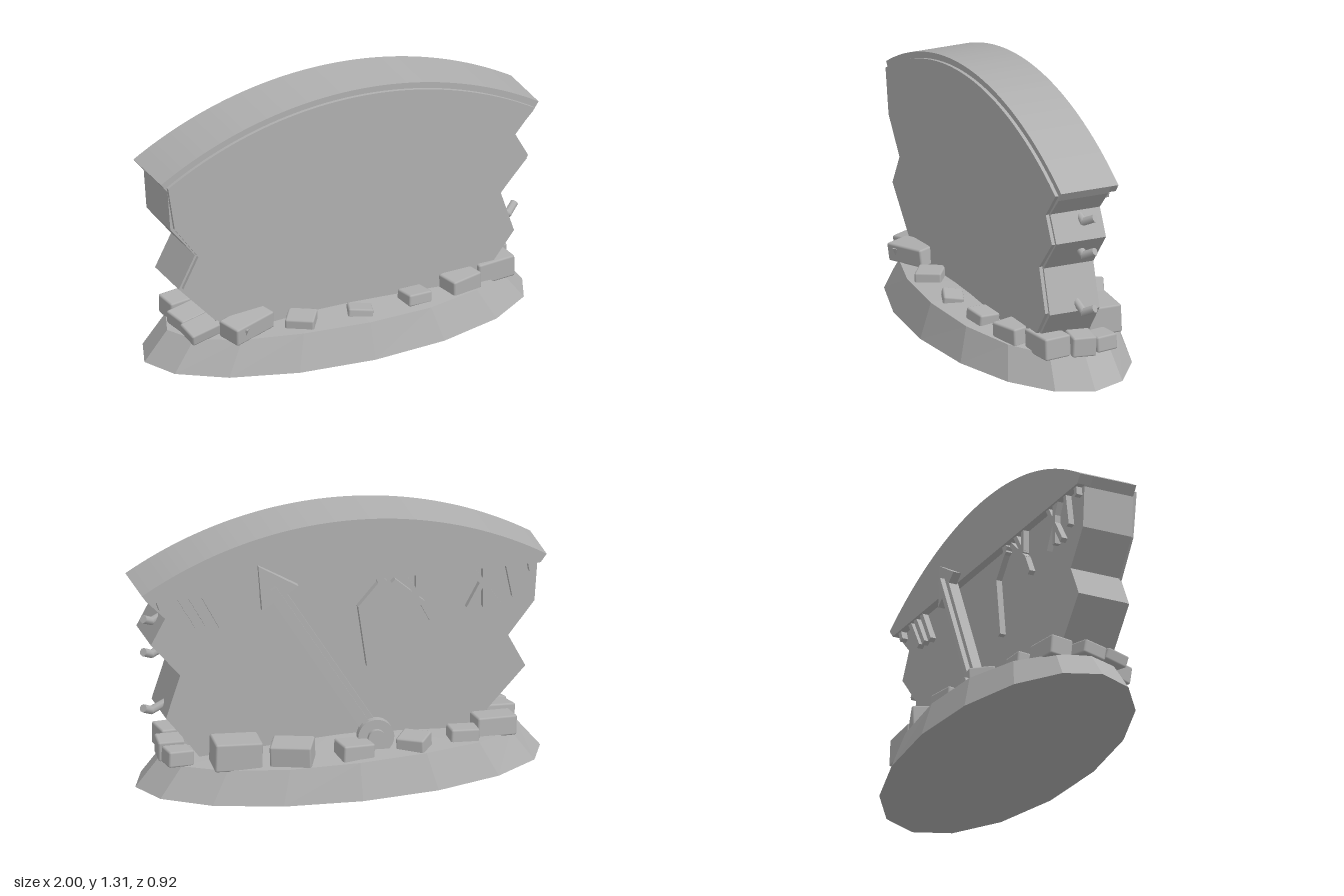
import * as THREE from 'three';
import { RoundedBoxGeometry } from 'three/addons/geometries/RoundedBoxGeometry.js';

const stone = new THREE.MeshStandardMaterial({ color: 0xb0b0b0 });
stone.name = 'greyStone';

export function createModel() {
  const model = new THREE.Group();
  const add = (name, geometry, parent = model) => {
    const mesh = new THREE.Mesh(geometry, stone);
    mesh.name = name;
    parent.add(mesh);
    return mesh;
  };

  // Plate between two z depths: arched top from the left end to the right end, broken edges below
  const plate = (name, points, top, z0, z1) => {
    const [ex, ey] = points[0];
    const rise = top - ey;
    const r = (ex * ex + rise * rise) / (2 * rise);
    const a = Math.asin(ex / r);
    const pts = [];
    for (let i = 0; i <= 48; i++) {
      const t = a - (2 * a * i) / 48;
      pts.push(new THREE.Vector2(r * Math.sin(t), top - r + r * Math.cos(t)));
    }
    points.slice(1).forEach(([x, y]) => pts.push(new THREE.Vector2(x, y)));
    const geometry = new THREE.ExtrudeGeometry(new THREE.Shape(pts), { depth: z1 - z0, bevelEnabled: false });
    add(name, geometry.translate(0, 0, z0));
  };

  // Broken dial slab: points run from the left end of the arch, round the bottom, to the right
  const outline = [
    [1, 1.03], [-0.965, 0.985], [-0.95, 0.78], [-0.82, 0.615], [-0.905, 0.45], [-0.71, 0.24], [-0.65, 0.12],
    [0.68, 0.12], [0.76, 0.23], [0.87, 0.37], [0.8, 0.585], [0.945, 0.755], [0.875, 0.885], [0.97, 0.985],
  ];
  const inset = [
    [0.97, 1.01], [-0.965, 0.98], [-0.935, 0.785], [-0.81, 0.61], [-0.89, 0.455], [-0.7, 0.24], [-0.65, 0.13],
    [0.68, 0.13], [0.745, 0.23], [0.855, 0.375], [0.785, 0.59], [0.93, 0.75], [0.86, 0.88],
  ];
  plate('dialBody', outline, 1.31, -0.05, 0.18);
  plate('frontPlate', inset, 1.28, 0.18, 0.197);
  plate('backPlate', outline, 1.3, -0.08, -0.05);
  plate('archRim', [[1, 1.03], [-0.97, 0.99], [0.97, 0.99]], 1.31, -0.12, -0.05);

  // Sixteen-sided rubble mound with sloping sides and an uneven top
  const mound = new THREE.CylinderGeometry(1, 1, 1, 16, 1).toNonIndexed();
  const p = mound.attributes.position;
  for (let i = 0; i < p.count; i++) {
    const x = p.getX(i), z = p.getZ(i), high = p.getY(i) > 0;
    const s = high ? 0.88 : 1;
    const centre = Math.hypot(x, z) < 0.1;
    const y = !high ? 0 : centre ? 0.2 : 0.145 + 0.03 * z * z - 0.025 * x * (1 - Math.abs(x));
    p.setXYZ(i, x * s, y, z * s * 0.46);
  }
  mound.computeVertexNormals();
  add('moundBase', mound);

  // Rubble blocks: x, y, z, width, height, depth, turn, tilt
  const rocks = [
    [-0.57, 0.215, 0.23, 0.24, 0.09, 0.13, 0.3, 0.08],
    [-0.3, 0.195, 0.27, 0.14, 0.06, 0.13, -0.6, 0.05],
    [0, 0.185, 0.29, 0.12, 0.05, 0.1, -0.35, -0.12],
    [0.3, 0.19, 0.27, 0.13, 0.06, 0.11, 0.15, -0.06],
    [0.56, 0.19, 0.23, 0.17, 0.09, 0.12, 0.25, 0.03],
    [0.76, 0.19, 0.14, 0.2, 0.11, 0.14, 0.1, 0.02],
    [0.83, 0.19, 0, 0.13, 0.1, 0.12, -0.1, -0.03],
    [0.82, 0.185, -0.11, 0.13, 0.08, 0.11, 0.1, 0.04],
    [0.56, 0.215, -0.21, 0.23, 0.14, 0.17, -0.08, 0.03],
    [0.3, 0.21, -0.28, 0.2, 0.12, 0.15, -0.4, -0.05],
    [0, 0.2, -0.3, 0.16, 0.09, 0.14, 0.12, 0.05],
    [-0.3, 0.2, -0.28, 0.14, 0.08, 0.13, -0.6, -0.06],
    [-0.56, 0.19, -0.21, 0.14, 0.07, 0.11, 0, 0.06],
    [-0.73, 0.195, -0.14, 0.2, 0.1, 0.12, 0.1, 0.05],
    [-0.78, 0.205, 0.02, 0.16, 0.07, 0.13, 0.2, 0.1],
    [-0.77, 0.2, 0.15, 0.17, 0.06, 0.12, 0.1, 0.2],
  ];
  for (const [x, y, z, w, h, d, turn, tilt] of rocks) {
    const rock = add('rubbleBlock', new RoundedBoxGeometry(w, h, d, 1, 0.01));
    rock.position.set(x, y, z);
    rock.rotation.set(tilt, turn, tilt);
  }
  // Pointed shard under the large front block
  const shard = add('rubbleShard', new THREE.ConeGeometry(0.055, 0.12, 4));
  shard.position.set(-0.61, 0.17, 0.27);
  shard.rotation.x = Math.PI;

  // Bent reinforcing rods in the broken edge
  for (const [x, y] of [[0.88, 0.85], [0.88, 0.68], [0.88, 0.39]]) {
    const corners = [[-0.06, 0.03, 0.03], [0.035, -0.012, 0.022], [0.08, 0.014, -0.01]]
      .map(([a, b, c]) => new THREE.Vector3(x + a, y + b, c));
    for (let i = 0; i < 2; i++) {
      const dir = corners[i + 1].clone().sub(corners[i]);
      const rod = add('bentRod', new THREE.CylinderGeometry(0.02, 0.02, dir.length() + 0.012, 8));
      rod.position.copy(corners[i]).addScaledVector(dir, 0.5);
      rod.quaternion.setFromUnitVectors(new THREE.Vector3(0, 1, 0), dir.normalize());
    }
  }

  // Hour marks on the back: x and y of both ends of each bar, then width
  const bars = [
    [0.82, 1.01, 0.725, 0.845], [0.765, 1.01, 0.67, 0.84], [0.7, 1.01, 0.605, 0.83],
    [-0.2, 0.98, -0.085, 0.85], [-0.085, 0.85, -0.127, 0.55],
    [-0.25, 0.965, -0.39, 0.84], [-0.39, 0.84, -0.437, 0.75],
    [-0.28, 1.01, -0.37, 0.88], [-0.37, 1.01, -0.37, 0.88], [-0.16, 1.02, -0.19, 0.95],
    [-0.62, 1.01, -0.775, 0.78], [-0.74, 1.01, -0.62, 0.79], [-0.7, 1.01, -0.7, 0.79],
    [-0.81, 1.01, -0.845, 0.83], [-0.92, 1.01, -0.93, 0.95], [0.92, 1.01, 0.9, 0.95],
  ];
  for (const [x0, y0, x1, y1] of bars) {
    const mark = add('hourMark', new THREE.BoxGeometry(0.026, Math.hypot(x1 - x0, y1 - y0) + 0.01, 0.04));
    mark.position.set((x0 + x1) / 2, (y0 + y1) / 2, -0.09);
    mark.rotation.z = Math.atan2(x0 - x1, y1 - y0);
  }

  // Fallen clock hand leaning on the back; local y runs to the tip, local z points outward
  const hand = new THREE.Group();
  hand.name = 'clockHand';
  const foot = new THREE.Vector3(-0.12, 0.24, -0.215);
  const along = new THREE.Vector3(0.43, 1.13, -0.12).sub(foot);
  const length = along.length();
  along.normalize();
  const side = new THREE.Vector3().crossVectors(along, new THREE.Vector3(0.05, 0, -1)).normalize();
  hand.quaternion.setFromRotationMatrix(
    new THREE.Matrix4().makeBasis(side, along, new THREE.Vector3().crossVectors(side, along)));
  hand.position.copy(foot);
  model.add(hand);
  add('handShaft', new THREE.BoxGeometry(0.08, length - 0.14, 0.05), hand).position.y = (length - 0.14) / 2;
  add('handRidge', new THREE.BoxGeometry(0.03, length - 0.2, 0.025), hand).position.set(0, length / 2 - 0.03, 0.036);
  const head = new THREE.Shape([[-0.105, -0.2], [0.105, -0.2], [0, 0]].map(([x, y]) => new THREE.Vector2(x, y)));
  add('handArrowhead', new THREE.ExtrudeGeometry(head, { depth: 0.04, bevelEnabled: false }), hand)
    .position.set(0, length, -0.015);
  const disc = (name, r, depth, z) => {
    add(name, new THREE.CylinderGeometry(r, r, depth, 24).rotateX(Math.PI / 2), hand).position.z = z;
  };
  disc('handHub', 0.088, 0.045, 0.038);
  disc('hubKnob', 0.042, 0.03, 0.07);
  return model;
}
